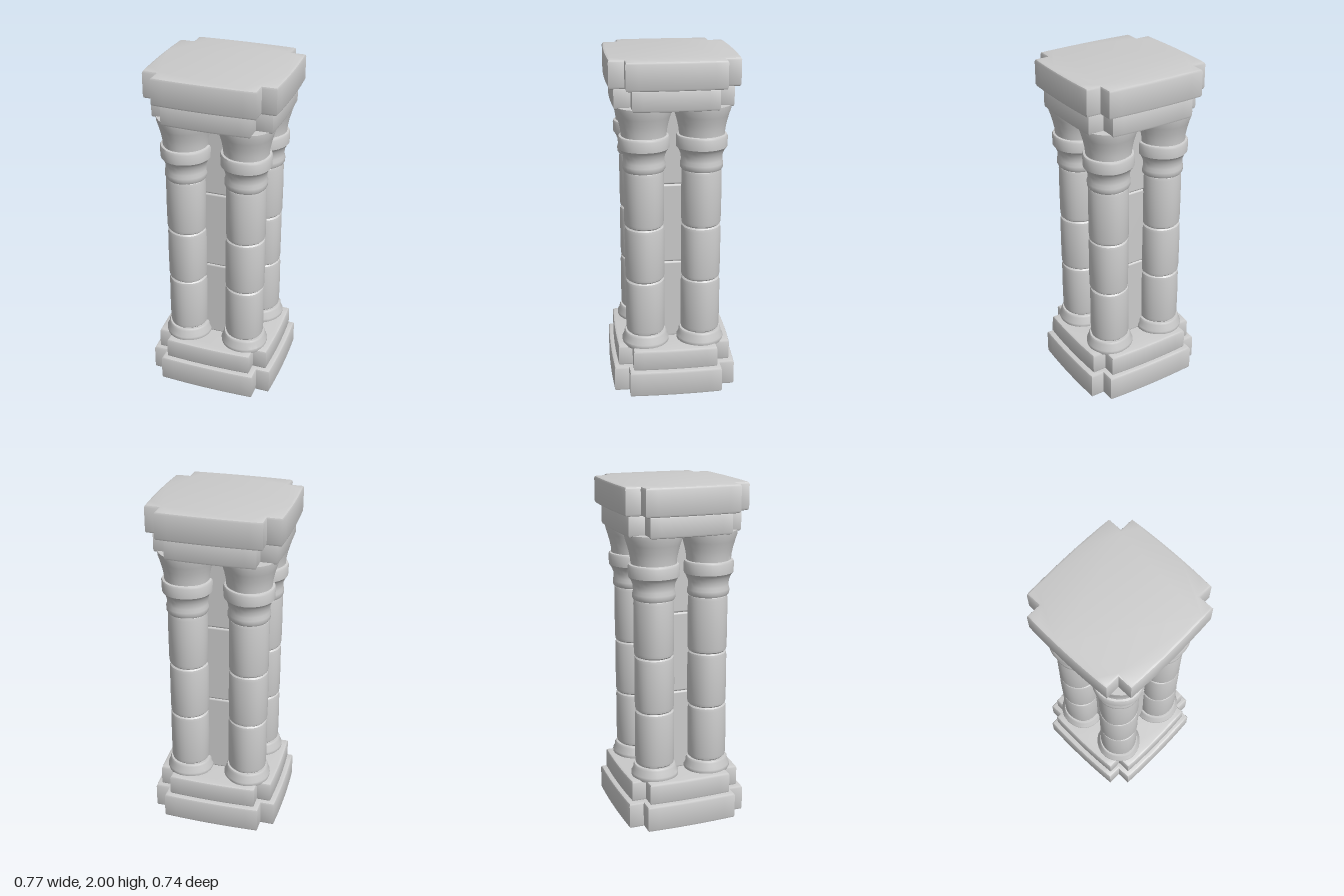
import * as THREE from 'three';
import { toCreasedNormals } from 'three/addons/utils/BufferGeometryUtils.js';
import { RoundedBoxGeometry } from 'three/addons/geometries/RoundedBoxGeometry.js';

const stone = new THREE.MeshStandardMaterial({ color: 0xcccccc });

function addMesh(parent, name, geometry) {
  const mesh = new THREE.Mesh(geometry, stone);
  mesh.name = name;
  parent.add(mesh);
  return mesh;
}

// Cross-shaped slab: hx, hz are the outer half sizes, nx, nz the notch corner.
function slab(hx, hz, nx, nz, y0, y1) {
  const bulge = 0.009, bevel = 0.014;
  const s = new THREE.Shape();
  s.moveTo(hx - bulge, -nz);
  s.quadraticCurveTo(hx + bulge, 0, hx - bulge, nz);
  s.lineTo(nx, nz);
  s.lineTo(nx, hz - bulge);
  s.quadraticCurveTo(0, hz + bulge, -nx, hz - bulge);
  s.lineTo(-nx, nz);
  s.lineTo(-hx + bulge, nz);
  s.quadraticCurveTo(-hx - bulge, 0, -hx + bulge, -nz);
  s.lineTo(-nx, -nz);
  s.lineTo(-nx, -hz + bulge);
  s.quadraticCurveTo(0, -hz - bulge, nx, -hz + bulge);
  s.lineTo(nx, -nz);
  s.closePath();
  const g = new THREE.ExtrudeGeometry(s, {
    depth: y1 - y0 - 2 * bevel, curveSegments: 8,
    bevelSize: bevel, bevelOffset: -bevel, bevelThickness: bevel, bevelSegments: 2,
  });
  g.rotateX(-Math.PI / 2).translate(0, y0 + bevel, 0);
  return toCreasedNormals(g, 0.6);
}

// Turned stone from [radius, height] pairs, with a slightly uneven, hand-cut outline.
function turned(profile, seed) {
  const g = new THREE.LatheGeometry(profile.map(([r, y]) => new THREE.Vector2(r, y)), 28);
  const p = g.attributes.position;
  for (let i = 0; i < p.count; i++) {
    const a = Math.atan2(p.getZ(i), p.getX(i));
    const k = 1 + 0.012 * Math.sin(3 * a + seed) + 0.008 * Math.sin(5 * a + 2 * seed);
    p.setX(i, p.getX(i) * k);
    p.setZ(i, p.getZ(i) * k);
  }
  return toCreasedNormals(g, 0.6);
}

function column(seed) {
  const group = new THREE.Group();
  group.name = 'column';

  // Base ring
  addMesh(group, 'columnBase', turned([
    [0, 0.275], [0.135, 0.275], [0.14, 0.29], [0.14, 0.305], [0.128, 0.325],
    [0.127, 0.343], [0.12, 0.355], [0, 0.355],
  ], seed));

  // Three stacked drums with softened joints
  const joints = [0.355, 0.69, 1.02, 1.36];
  for (let i = 0; i < 3; i++) {
    const a = joints[i], b = joints[i + 1];
    addMesh(group, 'shaftDrum', turned([
      [0, a], [0.104, a], [0.112, a + 0.008], [0.115, a + 0.025], [0.116, (a + b) / 2],
      [0.115, b - 0.025], [0.112, b - 0.008], [0.104, b], [0, b],
    ], seed + 1.7 * i));
  }

  // Flared capital with a collar
  addMesh(group, 'capital', turned([
    [0, 1.355], [0.115, 1.355], [0.122, 1.367], [0.123, 1.39], [0.117, 1.41],
    [0.119, 1.44], [0.128, 1.465], [0.136, 1.478], [0.144, 1.487], [0.146, 1.545],
    [0.141, 1.557], [0.129, 1.56], [0.131, 1.59], [0.139, 1.63], [0.15, 1.67],
    [0.161, 1.705], [0.163, 1.73], [0, 1.73],
  ], seed));
  return group;
}

export function createModel() {
  const model = new THREE.Group();
  model.name = 'stonePillar';

  // Stepped plinth and mirrored top
  addMesh(model, 'bottomSlab', slab(0.387, 0.37, 0.295, 0.275, 0, 0.16));
  addMesh(model, 'lowerStep', slab(0.357, 0.342, 0.265, 0.25, 0.155, 0.285));
  addMesh(model, 'upperStep', slab(0.357, 0.342, 0.255, 0.24, 1.72, 1.845));
  addMesh(model, 'topSlab', slab(0.387, 0.37, 0.295, 0.275, 1.84, 2));

  // Square core of three blocks between the columns
  const levels = [0.28, 0.77, 1.25, 1.73];
  for (let i = 0; i < 3; i++) {
    const h = levels[i + 1] - levels[i];
    const block = addMesh(model, 'coreBlock', new RoundedBoxGeometry(0.31, h, 0.29, 2, 0.012));
    block.position.y = levels[i] + h / 2;
  }

  // Four corner columns
  let seed = 0;
  for (const sx of [-1, 1]) {
    for (const sz of [-1, 1]) {
      const c = column(seed += 1.3);
      c.position.set(sx * 0.181, 0, sz * 0.165);
      model.add(c);
    }
  }
  return model;
}
